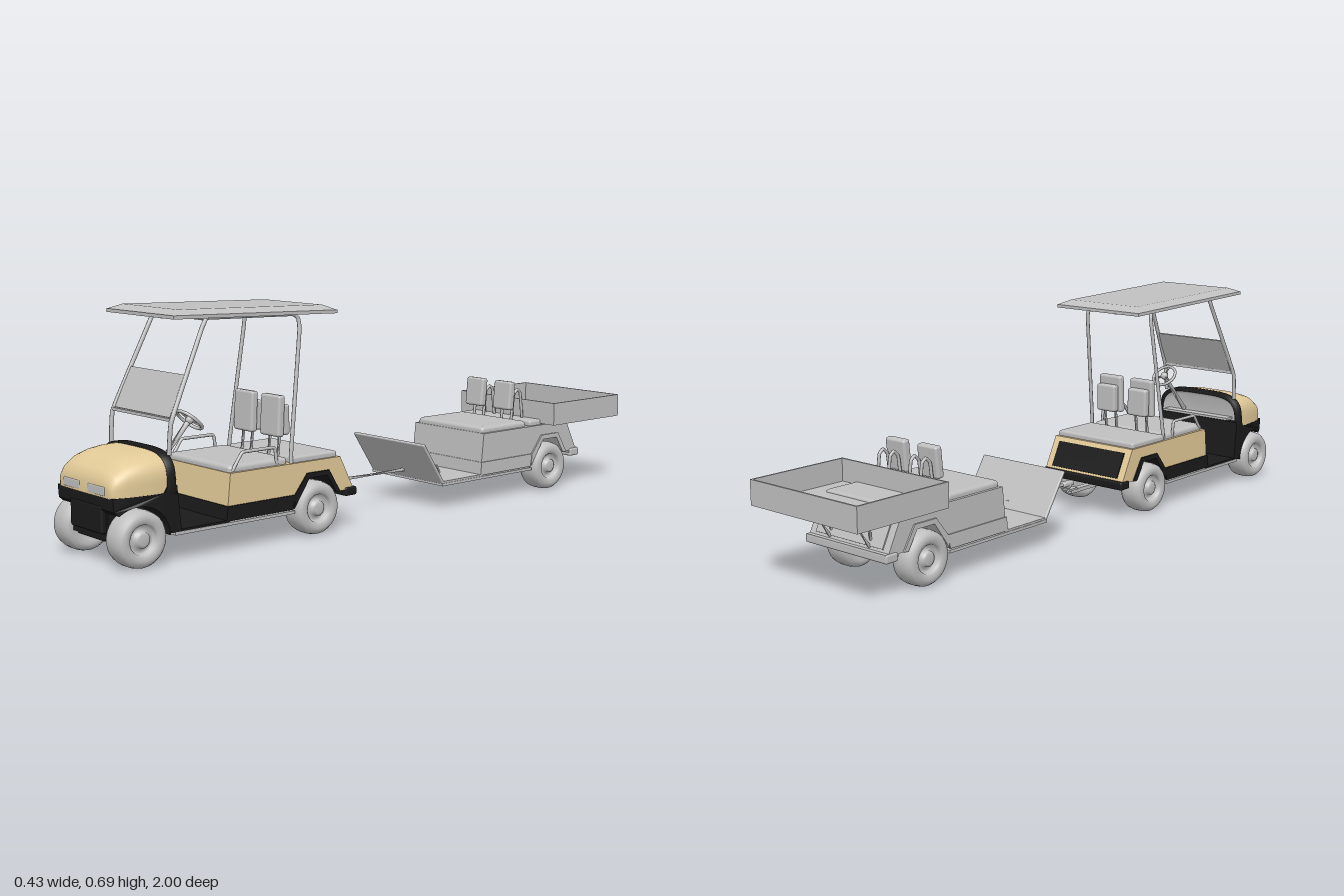
import * as THREE from 'three';
import { RoundedBoxGeometry } from 'three/addons/geometries/RoundedBoxGeometry.js';

const mat = (name, color) => {
  const m = new THREE.MeshStandardMaterial({ color, side: THREE.DoubleSide });
  m.name = name;
  return m;
};

export function createModel() {
  const grey = mat('light grey', 0xc0c0c0);
  const tan = mat('tan paint', 0xe2ca98);
  const black = mat('black plastic', 0x1a1a1a);
  const root = new THREE.Group();
  root.name = 'cartAndTrailer';
  const cart = new THREE.Group(), trailer = new THREE.Group();
  cart.name = 'cart';
  trailer.name = 'trailer';
  root.add(cart, trailer);

  const add = (parent, name, geo, m, x = 0, y = 0, z = 0) => {
    const mesh = new THREE.Mesh(geo, m);
    mesh.name = name;
    mesh.position.set(x, y, z);
    parent.add(mesh);
    return mesh;
  };
  const box = (p, name, m, w, h, d, x, y, z) => add(p, name, new THREE.BoxGeometry(w, h, d), m, x, y, z);
  const pad = (p, name, m, w, h, d, x, y, z, r = 0.008) =>
    add(p, name, new RoundedBoxGeometry(w, h, d, 3, r), m, x, y, z);
  const tube = (p, name, m, pts, r = 0.006) => {
    const c = new THREE.CatmullRomCurve3(pts.map(a => new THREE.Vector3(...a)), false, 'catmullrom', 0.12);
    return add(p, name, new THREE.TubeGeometry(c, pts.length > 2 ? 48 : 1, r, 8), m);
  };
  // side profile given as [z, y], extruded across x
  const profile = (p, name, m, pts, w) => {
    const g = new THREE.ExtrudeGeometry(new THREE.Shape(pts.map(a => new THREE.Vector2(...a))),
      { depth: w, bevelEnabled: false });
    g.translate(0, 0, -w / 2).rotateY(-Math.PI / 2);
    return add(p, name, g, m);
  };
  // skin over arched sections [z, halfWidth, bottom, top]
  const archLoft = (p, name, m, sections) => {
    const n = 36, pos = [], idx = [];
    sections.forEach(([z, w, yb, yt], s) => {
      for (let i = 0; i <= n; i++) {
        const a = Math.PI * i / n, c = Math.cos(a);
        pos.push(w * Math.sign(c) * Math.sqrt(Math.abs(c)), yb + (yt - yb) * Math.sqrt(Math.max(0, Math.sin(a))), z);
        if (s && i < n) {
          const k = s * (n + 1) + i, j = k - n - 1;
          idx.push(j, k, j + 1, k, k + 1, j + 1);
        }
      }
    });
    const g = new THREE.BufferGeometry();
    g.setAttribute('position', new THREE.Float32BufferAttribute(pos, 3));
    g.setIndex(idx);
    g.computeVertexNormals();
    return add(p, name, g, m);
  };

  // balloon tyre with dished hub
  const tyre = new THREE.LatheGeometry([
    [0, -0.03], [0.03, -0.03], [0.045, -0.037], [0.058, -0.041], [0.07, -0.037], [0.077, -0.028], [0.08, -0.012],
    [0.08, 0.012], [0.077, 0.028], [0.07, 0.037], [0.058, 0.041], [0.046, 0.038], [0.042, 0.034], [0.039, 0.02],
    [0.024, 0.022], [0.022, 0.033], [0.014, 0.036], [0, 0.036],
  ].map(a => new THREE.Vector2(...a)), 36);
  const axle = (p, name, z) => {
    for (const s of [1, -1]) {
      add(p, name + 'Wheel', tyre, grey, s * 0.136, 0.08, z).rotation.z = -s * Math.PI / 2;
    }
    add(p, name + 'Axle', new THREE.CylinderGeometry(0.016, 0.016, 0.2, 16), grey, 0, 0.08, z).rotation.z = Math.PI / 2;
  };

  // rear body shared by cart and trailer
  const rearBody = (p, paint, trim) => {
    const arch = [[0.225, 0.118], [0.268, 0.188], [0.35, 0.188], [0.398, 0.128]];
    const inner = [[0.382, 0.118], [0.343, 0.173], [0.276, 0.173], [0.242, 0.118]];
    profile(p, 'rearBody', paint, [[0.635, 0.128], [0.625, 0.222], [0.222, 0.222], [0.17, 0.118], ...arch], 0.32);
    profile(p, 'wheelArchTrim', trim, [...arch, [0.4, 0.09], ...inner], 0.33);
    profile(p, 'skirt', trim, [[0.642, 0.088], [0.638, 0.13], [0.395, 0.13], [0.405, 0.088]], 0.328);
    box(p, 'undercarriage', trim, 0.17, 0.09, 0.2, 0, 0.14, 0.31);
    pad(p, 'rearBumper', trim, 0.33, 0.026, 0.045, 0, 0.112, 0.182, 0.006);
    const panel = box(p, 'rearPanel', trim, 0.27, 0.085, 0.006, 0, 0.17, 0.195);
    panel.rotation.x = Math.atan2(0.052, 0.104);
    box(p, 'floorPan', grey, 0.33, 0.009, 0.415, 0, 0.08, 0.6075);
    box(p, 'floorMat', trim, 0.326, 0.006, 0.18, 0, 0.0875, 0.72);
    pad(p, 'seatCushion', grey, 0.3, 0.03, 0.21, 0, 0.226, 0.517, 0.012);
    pad(p, 'rearDeck', grey, 0.31, 0.022, 0.17, 0, 0.229, 0.315);
    axle(p, 'rear', 0.314);
  };
  rearBody(cart, tan, black);
  rearBody(trailer, grey, grey);
  trailer.position.z = -1.015;

  // front cowl, rim and dashboard
  archLoft(cart, 'cowl', tan, [[0.83, 0.163, 0.195, 0.304], [0.87, 0.163, 0.195, 0.303], [0.91, 0.159, 0.195, 0.298],
    [0.95, 0.152, 0.195, 0.286], [0.98, 0.143, 0.195, 0.266], [0.993, 0.134, 0.195, 0.246],
    [0.998, 0.122, 0.195, 0.228], [1, 0, 0.195, 0.195]]);
  archLoft(cart, 'cowlRim', black, [[0.812, 0.154, 0.19, 0.297], [0.812, 0.167, 0.19, 0.309],
    [0.838, 0.167, 0.19, 0.309], [0.838, 0.16, 0.19, 0.3]]);
  archLoft(cart, 'dashboard', grey, [[0.813, 0.157, 0.2, 0.299], [0.828, 0.143, 0.205, 0.285], [0.829, 0, 0.205, 0.205]]);
  box(cart, 'dashShelf', grey, 0.27, 0.008, 0.035, 0, 0.225, 0.807);

  // black front fenders around the wheel arch, narrowing to the nose
  const wheelArc = [];
  for (let i = 0; i <= 14; i++) {
    const a = (180 - 130 * i / 14) * Math.PI / 180;
    wheelArc.push([0.922 + 0.089 * Math.cos(a), 0.08 + 0.089 * Math.sin(a)]);
  }
  const fender = profile(cart, 'frontFenders', black,
    [[0.795, 0.085], [0.808, 0.215], [0.838, 0.215], [0.85, 0.197], [0.9, 0.197], [0.95, 0.197], [0.996, 0.197],
      [0.993, 0.16], ...wheelArc.reverse(), [0.83, 0.085]], 0.332);
  const fp = fender.geometry.attributes.position;
  for (let i = 0; i < fp.count; i++) {
    const t = Math.max(0, (fp.getZ(i) - 0.83) / 0.17);
    fp.setX(i, fp.getX(i) * (1 - 0.16 * t * t));
  }
  fender.geometry.computeVertexNormals();
  box(cart, 'frontChassis', black, 0.18, 0.115, 0.17, 0, 0.13, 0.895);
  pad(cart, 'frontBumper', black, 0.16, 0.08, 0.03, 0, 0.13, 0.981);
  pad(cart, 'bumperLip', black, 0.14, 0.025, 0.1, 0, 0.079, 0.93, 0.005);
  axle(cart, 'front', 0.922);

  for (const s of [1, -1]) {
    pad(cart, 'headlight', grey, 0.086, 0.025, 0.008, s * 0.062, 0.212, 0.996, 0.0035);
    // seat arm rail
    tube(cart, 'armRail', grey, [[s * 0.148, 0.225, 0.61], [s * 0.148, 0.268, 0.58], [s * 0.148, 0.275, 0.57],
      [s * 0.148, 0.275, 0.465], [s * 0.148, 0.268, 0.457], [s * 0.148, 0.225, 0.452]], 0.005);
    // rear roof post running forward under the roof
    tube(cart, 'rearRoofPost', grey, [[s * 0.152, 0.19, 0.403], [s * 0.148, 0.26, 0.398], [s * 0.132, 0.6, 0.352],
      [s * 0.128, 0.635, 0.352], [s * 0.125, 0.65, 0.37], [s * 0.125, 0.657, 0.67]]);
    box(cart, 'roofRib', grey, 0.012, 0.008, 0.5, s * 0.05, 0.652, 0.52).rotation.x = -0.03;

    // cart seat back with rear pad and brackets
    const back = new THREE.Group();
    back.name = 'seatBack';
    cart.add(back);
    pad(back, 'backCushion', grey, 0.09, 0.122, 0.024, s * 0.064, 0.353, 0.4).rotation.x = -0.05;
    pad(back, 'backPad', grey, 0.075, 0.09, 0.026, s * 0.064, 0.34, 0.376);
    for (const o of [-0.022, 0.022]) {
      tube(back, 'backBracket', grey, [[s * 0.064 + o, 0.22, 0.4], [s * 0.064 + o, 0.31, 0.39]], 0.005);
    }
    // trailer seat back with curved brackets
    const tb = new THREE.Group();
    tb.name = 'trailerSeatBack';
    trailer.add(tb);
    pad(tb, 'backCushion', grey, 0.078, 0.095, 0.026, s * 0.064, 0.32, 0.43).rotation.x = -0.1;
    for (const o of [-0.022, 0.022]) {
      tube(tb, 'backBracket', grey, [[s * 0.064 + o, 0.22, 0.42], [s * 0.064 + o, 0.32, 0.407],
        [s * 0.064 + o, 0.338, 0.39], [s * 0.064 + o, 0.325, 0.375], [s * 0.064 + o, 0.22, 0.362]], 0.005);
    }
    // cargo box legs
    tube(trailer, 'cargoLeg', grey, [[s * 0.08, 0.226, 0.11], [s * 0.08, 0.12, 0.185]], 0.006);
    tube(trailer, 'cargoLeg', grey, [[s * 0.08, 0.226, 0.175], [s * 0.08, 0.12, 0.185]], 0.006);
  }
  box(trailer, 'rearStep', grey, 0.32, 0.014, 0.05, 0, 0.118, 0.185);

  // front roof frame and windscreen
  const side = [[0.144, 0.295, 0.818], [0.146, 0.385, 0.81], [0.128, 0.63, 0.692], [0.124, 0.655, 0.678]];
  tube(cart, 'frontRoofFrame', grey, [...side, ...side.map(([x, y, z]) => [-x, y, z]).reverse()], 0.0065);
  box(cart, 'screenRail', grey, 0.285, 0.009, 0.01, 0, 0.389, 0.808);
  const screen = box(cart, 'windscreen', grey, 0.272, 0.124, 0.005, 0, 0.45, 0.779);
  screen.rotation.x = -Math.atan2(0.118, 0.245);

  // roof with chamfered edges, slightly higher at the front
  const roof = new THREE.Group();
  roof.name = 'roof';
  roof.position.set(0, 0.66, 0.523);
  roof.rotation.x = -0.026;
  cart.add(roof);
  box(roof, 'roofRim', grey, 0.332, 0.01, 0.574, 0, 0, 0);
  const top = new THREE.BoxGeometry(0.33, 0.014, 0.57);
  const tp = top.attributes.position;
  for (let i = 0; i < tp.count; i++) {
    if (tp.getY(i) > 0) tp.setXYZ(i, tp.getX(i) * 0.82, tp.getY(i), tp.getZ(i) * 0.89);
  }
  top.computeVertexNormals();
  add(roof, 'roofPanel', top, grey, 0, 0.012, 0);

  // steering column and wheel
  tube(cart, 'steeringColumn', grey, [[0.064, 0.235, 0.815], [0.064, 0.364, 0.698]], 0.008);
  const wheel = new THREE.Group();
  wheel.name = 'steeringWheel';
  wheel.position.set(0.064, 0.369, 0.693);
  wheel.rotation.x = -Math.atan2(0.129, 0.117) + Math.PI;
  cart.add(wheel);
  wheel.lookAt(0.064, 0.369 + 0.129, 0.693 - 0.117);
  add(wheel, 'wheelRim', new THREE.TorusGeometry(0.041, 0.005, 8, 32), grey);
  add(wheel, 'wheelHub', new THREE.SphereGeometry(0.013, 16, 10), grey);
  for (let i = 0; i < 3; i++) {
    const a = Math.PI / 2 + i * Math.PI * 2 / 3;
    tube(wheel, 'wheelSpoke', grey, [[0, 0, 0], [0.041 * Math.cos(a), 0.041 * Math.sin(a), 0]], 0.004);
  }

  // foot pedals
  for (const p of [cart, trailer]) {
    for (const x of [0.03, 0.095]) {
      box(p, 'pedal', grey, 0.02, 0.03, 0.005, x, 0.118, 0.775).rotation.x = 0.5;
    }
  }

  // trailer sloping front board
  const board = pad(trailer, 'frontBoard', grey, 0.33, 0.16, 0.01, 0, 0.15, 0.853, 0.004);
  board.rotation.x = Math.atan2(0.085, 0.13);

  // open cargo box
  box(trailer, 'cargoFloor', grey, 0.428, 0.006, 0.334, 0, 0.229, 0.182);
  for (const s of [1, -1]) {
    box(trailer, 'cargoSide', grey, 0.006, 0.074, 0.334, s * 0.212, 0.263, 0.182);
    box(trailer, 'cargoEnd', grey, 0.428, 0.074, 0.006, 0, 0.263, 0.182 + s * 0.164);
  }

  // hitch and tow bar
  box(root, 'hitchBar', grey, 0.022, 0.012, 0.14, 0, 0.082, 0.17);
  box(root, 'hitchPlate', grey, 0.03, 0.006, 0.04, 0, 0.09, 0.105);
  add(root, 'hitchBall', new THREE.SphereGeometry(0.012, 16, 10), grey, 0, 0.104, 0.095);
  pad(root, 'coupler', grey, 0.022, 0.016, 0.05, 0, 0.11, 0.09, 0.006);
  tube(root, 'towBar', grey, [[0, 0.11, 0.09], [0, 0.108, -0.195]], 0.006);
  return root;
}
